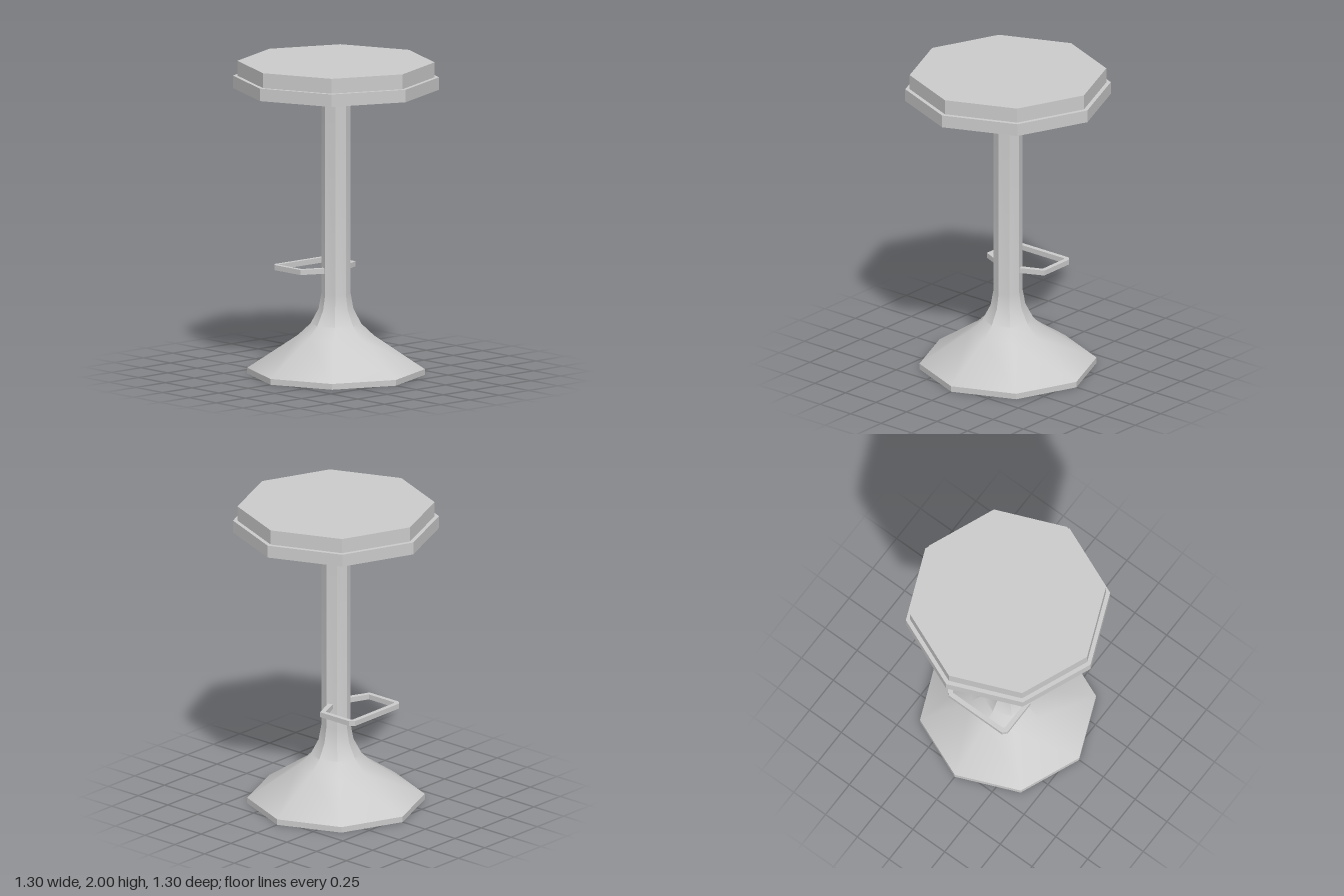
import * as THREE from 'three';
import { toCreasedNormals } from 'three/addons/utils/BufferGeometryUtils.js';

const SIDES = 8;

export function createModel() {
  const stool = new THREE.Group();
  stool.name = 'barStool';
  const solid = new THREE.MeshStandardMaterial({ color: 0xcccccc, flatShading: true });
  const shell = new THREE.MeshStandardMaterial({ color: 0xcccccc, side: THREE.DoubleSide });

  const add = (name, geometry, material) => {
    const mesh = new THREE.Mesh(geometry, material);
    mesh.name = name;
    stool.add(mesh);
    return mesh;
  };

  // Octagonal disc between two heights
  const disc = (name, radius, y0, y1) => {
    const geometry = new THREE.CylinderGeometry(radius, radius, y1 - y0, SIDES);
    add(name, geometry, solid).position.y = (y0 + y1) / 2;
  };
  disc('seatPan', 0.65, 1.825, 1.905);
  disc('seatCushion', 0.622, 1.905, 2);

  // Hollow flared base running up into the column, open underneath
  const profile = [
    [0.56, 0], [0.56, 0.037], [0.24, 0.25], [0.16, 0.325],
    [0.11, 0.42], [0.092, 0.52], [0.092, 1.83],
  ].map(([r, y]) => new THREE.Vector2(r, y));
  add('baseAndColumn', toCreasedNormals(new THREE.LatheGeometry(profile, SIDES), 0.6), shell);

  // Footrest: a flat bar looped behind the column; half outline as [x, distance back]
  const outer = [[0.06, 0.0], [0.09, 0.01], [0.235, 0.075], [0.235, 0.318], [0.21, 0.345]];
  const inner = [[0.195, 0.315], [0.205, 0.305], [0.205, 0.095], [0.08, 0.042], [0.05, 0.03]];
  const mirror = (pts) => pts.map(([x, z]) => [-x, z]).reverse();
  const outline = [...outer, ...mirror(outer), ...mirror(inner), ...inner];
  const shape = new THREE.Shape(outline.map(([x, z]) => new THREE.Vector2(x, z)));
  const bar = new THREE.ExtrudeGeometry(shape, { depth: 0.033, bevelEnabled: false });
  bar.rotateX(-Math.PI / 2);
  add('footrest', bar, solid).position.y = 0.652;

  return stool;
}
